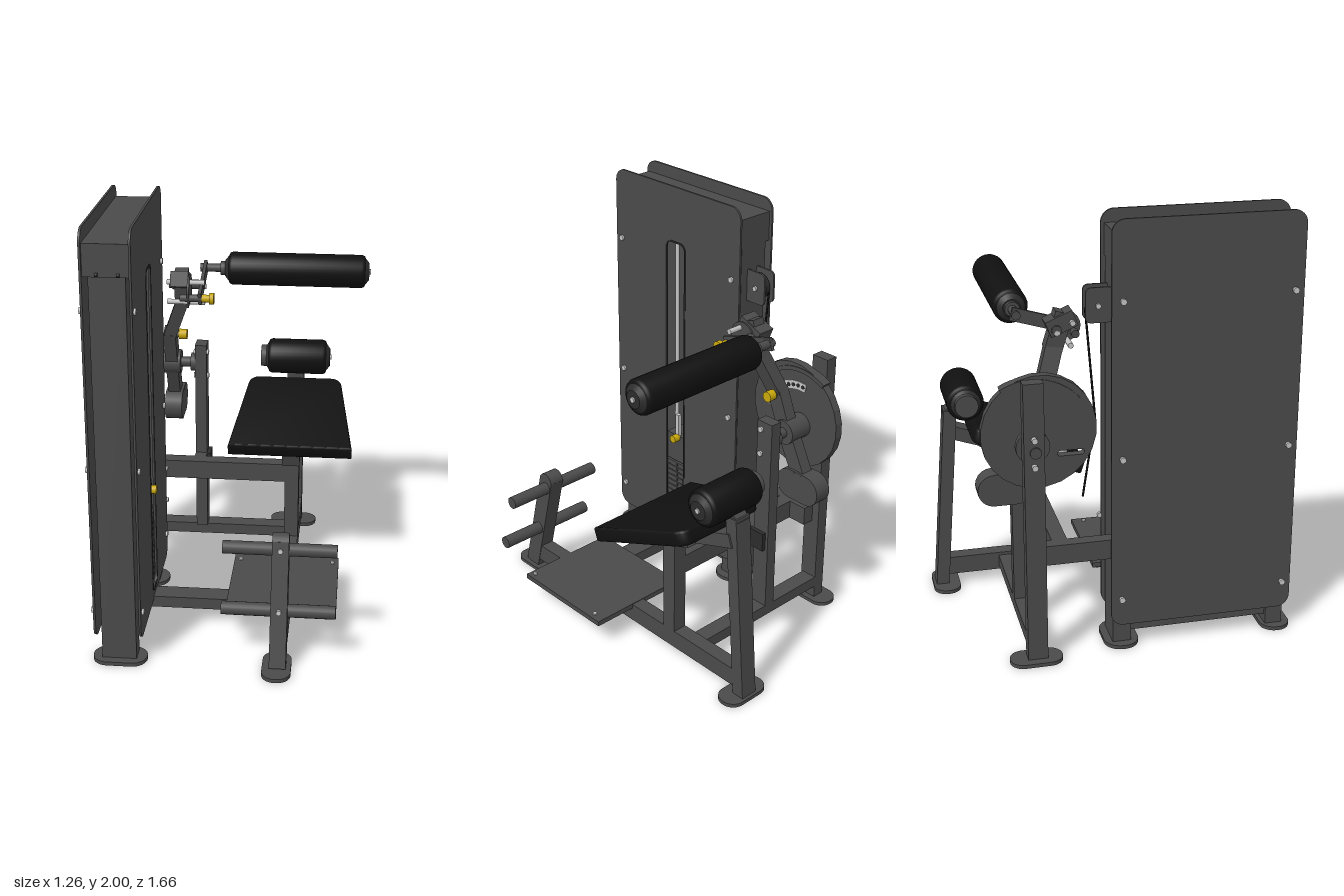
import * as THREE from 'three';
import { toCreasedNormals } from 'three/addons/utils/BufferGeometryUtils.js';

const material = (name, color, side = THREE.FrontSide) => {
  const m = new THREE.MeshStandardMaterial({ color, side });
  m.name = name;
  return m;
};

export function createModel() {
  const root = new THREE.Group();
  root.name = 'backExtensionMachine';
  const steel = material('greySteel', 0x4a4a4a);
  const pad = material('blackPad', 0x101010);
  const dark = material('darkPlastic', 0x2c2c2c);
  const bright = material('brightMetal', 0xc4c4c4);
  const yellow = material('yellowKnob', 0xc9a80c);

  const add = (name, geo, mat, parent = root) => {
    const m = new THREE.Mesh(geo, mat);
    m.name = name;
    parent.add(m);
    return m;
  };
  // Box given by its min and max along each axis
  const box = (name, x0, x1, y0, y1, z0, z1, mat = steel) => {
    const m = add(name, new THREE.BoxGeometry(x1 - x0, y1 - y0, z1 - z0), mat);
    m.position.set((x0 + x1) / 2, (y0 + y1) / 2, (z0 + z1) / 2);
    return m;
  };
  // Square tube or round rod between two points
  const span = (m, a, b) => {
    const va = new THREE.Vector3(...a), vb = new THREE.Vector3(...b);
    m.position.copy(va).add(vb).multiplyScalar(0.5);
    m.quaternion.setFromUnitVectors(new THREE.Vector3(0, 1, 0), vb.sub(va).normalize());
    return m;
  };
  const dist = (a, b) => Math.hypot(a[0] - b[0], a[1] - b[1], a[2] - b[2]);
  const beam = (name, a, b, w, d, mat = steel) =>
    span(add(name, new THREE.BoxGeometry(w, dist(a, b), d), mat), a, b);
  const rod = (name, a, b, r, mat = steel, seg = 20) =>
    span(add(name, new THREE.CylinderGeometry(r, r, dist(a, b), seg), mat), a, b);
  const rodX = (name, x0, x1, y, z, r, mat = steel, seg = 20) =>
    rod(name, [x0, y, z], [x1, y, z], r, mat, seg);

  // Rounded rectangle, used for panels, feet and slots
  const rounded = (S, u0, u1, v0, v1, r) => {
    const s = new S();
    s.absarc(u1 - r, v0 + r, r, -Math.PI / 2, 0);
    s.absarc(u1 - r, v1 - r, r, 0, Math.PI / 2);
    s.absarc(u0 + r, v1 - r, r, Math.PI / 2, Math.PI);
    s.absarc(u0 + r, v0 + r, r, Math.PI, Math.PI * 1.5);
    s.closePath();
    return s;
  };
  const extrude = (shape, depth) =>
    new THREE.ExtrudeGeometry(shape, { depth, bevelEnabled: false, curveSegments: 12 });
  // Shape drawn in z and y, thick along x
  const sidePlate = (name, shape, x0, depth, mat = steel) =>
    add(name, extrude(shape, depth).rotateY(-Math.PI / 2).translate(x0 + depth, 0, 0), mat);
  // Shape drawn in x and -z, thick along y
  const foot = (name, x0, x1, z0, z1) =>
    add(name, extrude(rounded(THREE.Shape, x0, x1, -z1, -z0, Math.min(x1 - x0, z1 - z0) / 2 - 0.003), 0.018)
      .rotateX(-Math.PI / 2), steel);
  // Foam roller with softened ends and a hub cap
  const roller = (name, x0, x1, y, z, r) => {
    const h = x1 - x0, e = 0.018;
    const pts = [[0, 0], [r - e, 0], [r - e * 0.3, e * 0.3], [r, e], [r, h - e],
      [r - e * 0.3, h - e * 0.3], [r - e, h], [0, h]].map(p => new THREE.Vector2(...p));
    const g = toCreasedNormals(new THREE.LatheGeometry(pts, 32), 0.9);
    add(name, g.rotateZ(-Math.PI / 2).translate(x0, y, z), pad);
    for (const [s, x] of [[1, x1], [-1, x0]]) {
      const cap = add(name + 'Cap', new THREE.CylinderGeometry(r * 0.5, r * 0.78, 0.018, 24), dark);
      cap.rotation.z = -s * Math.PI / 2;
      cap.position.set(x + s * 0.009, y, z);
    }
    rodX(name + 'Bolt', x1 + 0.015, x1 + 0.025, y, z, 0.013, bright, 6);
  };

  // Weight tower: two shrouds, the inner one with a slot
  for (const [name, x] of [['outerShroud', -0.552], ['innerShroud', -0.348]]) {
    const s = rounded(THREE.Shape, -0.11, 0.74, 0.12, 2, 0.06);
    if (x > -0.4) s.holes.push(rounded(THREE.Path, 0.25, 0.38, 0.165, 1.73, 0.035));
    sidePlate(name, s, x, 0.01);
    const outX = x > -0.4 ? [-0.338, -0.328] : [-0.565, -0.552];
    for (const y of [0.25, 0.935, 1.65]) for (const z of [-0.06, 0.7])
      rodX('shroudBolt', outX[0], outX[1], y, z, 0.014, bright, 12);
  }
  const rim = rounded(THREE.Shape, 0.247, 0.383, 0.162, 1.733, 0.038);
  rim.holes.push(rounded(THREE.Path, 0.255, 0.375, 0.17, 1.725, 0.03));
  sidePlate('slotRim', rim, -0.341, 0.006, dark);
  box('towerFrontColumn', -0.52, -0.365, 0.01, 1.82, 0.64, 0.72);
  box('towerRearColumn', -0.52, -0.365, 0.01, 1.82, -0.095, -0.01);
  box('towerTopBeam', -0.542, -0.348, 1.8, 1.94, -0.095, 0.725);
  box('towerBaseBeam', -0.5, -0.39, 0.06, 0.15, -0.05, 0.68);
  for (const x of [-0.49, -0.4]) rodX('topBolt', x, x + 0.012, 1.81, 0.726, 0.008, dark, 8);

  // Weight stack, guide rods and selector
  for (let i = 0; i < 12; i++)
    box('weightPlate', -0.51, -0.352, 0.172 + i * 0.0295, 0.197 + i * 0.0295, 0.2, 0.44);
  for (let i = 0; i < 12; i++)
    rodX('plateHole', -0.352, -0.35, 0.184 + i * 0.0295, 0.316, 0.007, dark, 10);
  box('stackCore', -0.5, -0.37, 0.15, 0.53, 0.21, 0.43, dark);
  box('stackCarriage', -0.5, -0.355, 0.53, 0.68, 0.24, 0.39);
  box('selectorLabel', -0.37, -0.351, 0.68, 0.8, 0.304, 0.328, bright);
  for (const z of [0.23, 0.41]) rod('guideRod', [-0.44, 0.15, z], [-0.44, 1.82, z], 0.01, bright);
  rod('stackCable', [-0.4, 0.68, 0.316], [-0.4, 1.82, 0.316], 0.005, pad, 8);
  rodX('selectorPin', -0.36, -0.32, 0.67, 0.316, 0.02, yellow);

  // Feet
  foot('towerFrontFoot', -0.565, -0.32, 0.62, 0.76);
  foot('towerRearFoot', -0.565, -0.32, -0.13, 0.03);
  foot('pivotFoot', -0.63, -0.5, -0.58, -0.34);
  foot('seatRearFoot', 0.14, 0.38, -0.83, -0.7);
  foot('footrestFoot', 0.2, 0.33, 0.6, 0.83);

  // Base frame
  box('mainBaseBeam', 0.235, 0.305, 0.06, 0.15, -0.75, 0.69);
  box('frontCrossBeam', -0.37, 0.24, 0.08, 0.135, 0.26, 0.36);
  box('rearCrossBeam', -0.56, 0.24, 0.08, 0.135, -0.5, -0.42);
  box('outerPivotPost', -0.59, -0.53, 0.01, 1.33, -0.5, -0.41);
  box('innerPivotPost', -0.227, -0.17, 0.13, 1.12, -0.5, -0.41);
  box('middleCrossBeam', -0.53, 0.24, 0.45, 0.543, -0.365, -0.295);
  box('middleSideBeam', -0.53, -0.47, 0.45, 0.543, -0.46, -0.06);
  box('beamEndCap', -0.17, -0.15, 0.45, 0.543, -0.485, -0.4, dark);
  box('innerStub', -0.227, -0.17, 0.45, 0.543, -0.485, -0.3);
  for (const y of [0.41, 0.58]) rodX('frameBolt', -0.345, -0.33, y, -0.115, 0.012, bright, 8);

  // Footplate and footrest
  box('footplate', 0.01, 0.52, 0.128, 0.153, -0.07, 0.48);
  box('footplateRib', 0.03, 0.5, 0.115, 0.13, -0.05, 0.46, dark);
  for (const x of [0.04, 0.49]) for (const z of [-0.01, 0.45])
    rod('footplateBolt', [x, 0.15, z], [x, 0.16, z], 0.01, bright, 10);
  beam('footrestPost', [0.27, 0.015, 0.715], [0.27, 0.57, 0.57], 0.075, 0.088);
  rodX('footrestPostTop', 0.2325, 0.3075, 0.56, 0.572, 0.044);
  for (const [y, z] of [[0.525, 0.57], [0.26, 0.645]]) {
    rodX('footBar', 0.01, 0.52, y, z, 0.03);
    rod('footBarBolt', [0.27, y + 0.015, z + 0.035], [0.27, y + 0.018, z + 0.062], 0.012, bright, 8);
  }

  // Seat frame
  box('seatFrontPost', 0.235, 0.305, 0.14, 0.68, -0.365, -0.29);
  beam('seatRearLeg', [0.262, 0.01, -0.785], [0.262, 0.93, -0.715], 0.085, 0.062);
  beam('seatRail', [0.27, 0.625, -0.16], [0.27, 0.82, -0.72], 0.085, 0.065);
  beam('rollerBracket', [0.262, 0.9, -0.73], [0.262, 0.995, -0.65], 0.07, 0.05);
  for (const x of [0.12, 0.42]) beam('seatSlat', [x, 0.675, -0.24], [x, 0.8, -0.595], 0.05, 0.025);

  // Tapered, tilted seat pad
  const taper = new THREE.Shape();
  taper.moveTo(-0.025, 0.01);
  taper.lineTo(0.555, 0.01);
  taper.lineTo(0.492, 0.475);
  taper.quadraticCurveTo(0.485, 0.52, 0.445, 0.52);
  taper.lineTo(0.085, 0.52);
  taper.quadraticCurveTo(0.045, 0.52, 0.038, 0.475);
  taper.closePath();
  const seatGeo = new THREE.ExtrudeGeometry(taper, {
    depth: 0.05, bevelSize: 0.01, bevelThickness: 0.01, bevelSegments: 3, curveSegments: 8 });
  const seat = add('seatPad', toCreasedNormals(seatGeo.translate(0, 0, 0.01).rotateX(-Math.PI / 2), 0.6), pad);
  seat.position.set(0, 0.655, -0.137);
  seat.rotation.x = 0.335;

  // Lower back roller
  roller('lowerBackRoller', 0.125, 0.42, 0.995, -0.65, 0.088);
  rodX('lowerRollerCollar', 0.088, 0.125, 0.995, -0.65, 0.055);

  // Cam with a curved cut-out, adjustment scale and cable slot
  const cam = new THREE.Shape();
  cam.absellipse(-0.41, 1.06, 0.255, 0.262, 0, Math.PI * 2, false, -0.4);
  cam.holes.push(rounded(THREE.Path, -0.33, -0.21, 0.94, 0.965, 0.012));
  sidePlate('cam', cam, -0.46, 0.04);
  const arc = (r0, r1, a0, a1) => {
    const s = new THREE.Shape();
    s.absarc(-0.44, 1.03, r1, a0, a1, false);
    s.absarc(-0.44, 1.03, r0, a1, a0, true);
    s.closePath();
    return s;
  };
  sidePlate('camRim', arc(0.255, 0.275, 0.7, 2.1), -0.465, 0.05);
  sidePlate('angleScale', arc(0.165, 0.205, 0.15, 1.75), -0.42, 0.004, bright);
  for (let i = 0; i < 10; i++) {
    const a = 0.22 + i * 0.16;
    rodX('angleHole', -0.42, -0.414, 1.03 + 0.185 * Math.sin(a), -0.44 + 0.185 * Math.cos(a), 0.01, dark, 10);
  }
  sidePlate('camSlotEdge', rounded(THREE.Shape, -0.33, -0.28, 0.935, 0.97, 0.01), -0.421, 0.005, bright);

  // Pivot axle and bearings
  rodX('pivotAxle', -0.6, -0.17, 1.02, -0.45, 0.025);
  rodX('pivotHub', -0.42, -0.3, 1.02, -0.45, 0.06);
  rodX('outerBearing', -0.53, -0.5, 1.02, -0.45, 0.075);
  rodX('innerBearing', -0.25, -0.225, 1.02, -0.45, 0.045);
  for (const y of [0.955, 1.08]) {
    rodX('bearingBolt', -0.61, -0.51, y, -0.455, 0.014, bright, 8);
    rodX('postBolt', -0.235, -0.16, y, -0.435, 0.014, bright, 8);
  }

  // Lever arm, cranked sideways, with counterweight
  beam('leverLower', [-0.343, 1.0, -0.45], [-0.343, 1.21, -0.365], 0.06, 0.078);
  beam('leverCrank', [-0.343, 1.19, -0.373], [-0.27, 1.39, -0.305], 0.06, 0.078);
  beam('leverUpper', [-0.27, 1.37, -0.312], [-0.27, 1.54, -0.26], 0.065, 0.08);
  beam('leverHead', [-0.275, 1.47, -0.335], [-0.275, 1.52, -0.215], 0.085, 0.075);
  beam('counterweightArm', [-0.343, 1.0, -0.45], [-0.343, 0.78, -0.56], 0.06, 0.08);
  beam('counterweight', [-0.343, 0.77, -0.5], [-0.343, 0.77, -0.6], 0.085, 0.15);
  for (const z of [-0.5, -0.6]) rodX('counterweightEnd', -0.386, -0.3, 0.77, z, 0.075);
  rodX('leverPin', -0.34, -0.29, 1.19, -0.378, 0.018);
  rodX('lowerKnob', -0.3, -0.26, 1.19, -0.378, 0.025, yellow);

  // Upper roller and its adjustable link
  rodX('rollerShaft', -0.2, -0.05, 1.51, -0.455, 0.02);
  rodX('rollerCollar', -0.1, -0.06, 1.51, -0.455, 0.034);
  rodX('linkPivot', -0.33, -0.16, 1.47, -0.3, 0.022);
  beam('rollerLink', [-0.175, 1.43, -0.19], [-0.175, 1.515, -0.475], 0.016, 0.06);
  rodX('linkPlate', -0.235, -0.225, 1.46, -0.245, 0.07);
  for (const [y, z] of [[1.5, -0.23], [1.46, -0.3], [1.4, -0.24]])
    rodX('linkBolt', -0.335, -0.155, y, z, 0.013, bright, 8);
  rodX('upperKnobSleeve', -0.27, -0.165, 1.43, -0.205, 0.018);
  rodX('upperKnob', -0.165, -0.125, 1.43, -0.205, 0.018, yellow);
  rodX('upperKnobTip', -0.13, -0.108, 1.43, -0.205, 0.027, yellow);
  roller('upperBackRoller', -0.06, 0.602, 1.51, -0.455, 0.08);

  // Pulley bracket behind the tower, with cable to the cam
  for (const x of [-0.475, -0.415])
    sidePlate('pulleyBracket', rounded(THREE.Shape, -0.205, -0.08, 1.54, 1.695, 0.025), x, 0.01);
  rodX('pulley', -0.455, -0.43, 1.615, -0.135, 0.06, dark, 28);
  rodX('pulleyBolt', -0.485, -0.395, 1.615, -0.15, 0.012, bright, 8);
  rod('camCable', [-0.442, 1.6, -0.2], [-0.442, 1.1, -0.158], 0.005, pad, 8);
  rod('returnCable', [-0.442, 1.1, -0.158], [-0.442, 0.73, -0.215], 0.005, pad, 8);

  return root;
}
